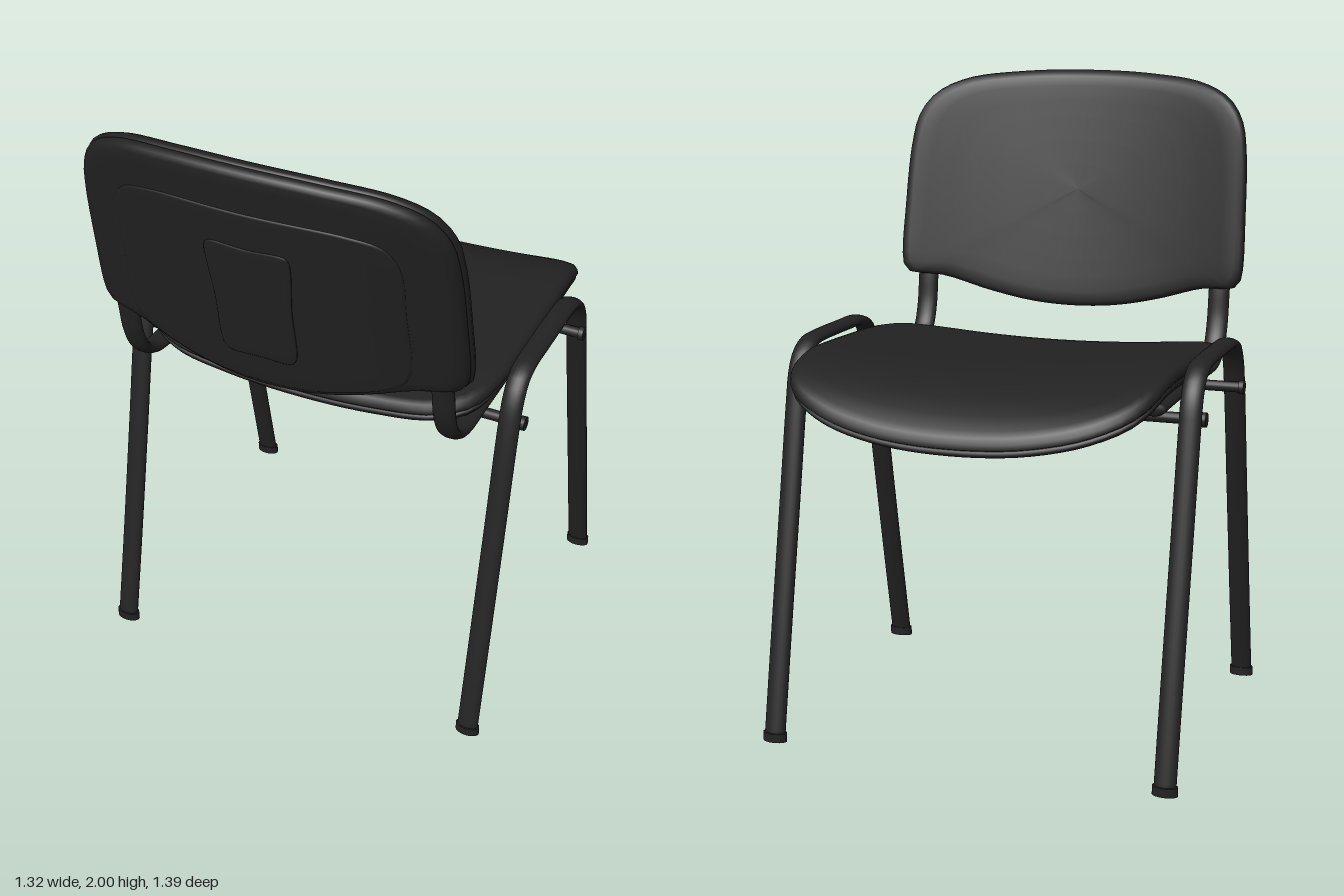
import * as THREE from 'three';

const black = new THREE.MeshStandardMaterial({ color: 0x222222 });
black.name = 'black';

// Skin a list of rings (arrays of Vector3, counter-clockwise around the travel direction)
function loft(rings) {
  const n = rings[0].length, pos = [], idx = [];
  rings.forEach(r => r.forEach(p => pos.push(p.x, p.y, p.z)));
  for (let i = 0; i < rings.length - 1; i++) {
    for (let j = 0; j < n; j++) {
      const a = i * n + j, b = i * n + (j + 1) % n;
      idx.push(a, b, b + n, a, b + n, a + n);
    }
  }
  const g = new THREE.BufferGeometry();
  g.setAttribute('position', new THREE.Float32BufferAttribute(pos, 3));
  g.setIndex(idx);
  g.computeVertexNormals();
  return g;
}

// Oval tube following a path of [z, y] points at a fixed x
function ovalTube(x, path, rx, ry, steps) {
  const curve = new THREE.CatmullRomCurve3(path.map(([z, y]) => new THREE.Vector3(x, y, z)));
  const X = new THREE.Vector3(1, 0, 0), rings = [];
  const ring = (u, s) => {
    const c = curve.getPointAt(u), N = curve.getTangentAt(u).cross(X);
    rings.push(Array.from({ length: 20 }, (_, j) => {
      const t = j / 20 * Math.PI * 2;
      return c.clone().addScaledVector(X, s * rx * Math.cos(t)).addScaledVector(N, s * ry * Math.sin(t));
    }));
  };
  ring(0, 0);
  for (let i = 0; i <= steps; i++) ring(i / steps, 1);
  ring(1, 0);
  return loft(rings);
}

// Curved pad: half outline (right side, bottom centre to top centre), bent by map(a, b, t)
function pad(half, profile, map) {
  const mirrored = half.slice(1, -1).reverse().map(([a, b]) => [-a, b]);
  const curve = new THREE.CatmullRomCurve3(
    [...half, ...mirrored].map(([a, b]) => new THREE.Vector3(a, b, 0)), true);
  const outline = curve.getSpacedPoints(96).slice(0, 96);
  const mid = (half[0][1] + half[half.length - 1][1]) / 2;
  return loft(profile.map(([s, t]) => outline.map(p => map(p.x * s, mid + (p.y - mid) * s, t))));
}

const inner = [0, 0.2, 0.4, 0.6, 0.75, 0.87];
const flat = t => inner.map(s => [s, t]);
// Shell below, seam groove, rounded cushion above
const cushionProfile = [
  ...flat(-1), [0.94, -0.97], [0.975, -0.75], [0.99, -0.4], [0.99, -0.15], [0.975, -0.1],
  [0.99, -0.04], [1, 0.15], [0.995, 0.5], [0.98, 0.8], [0.95, 0.95], ...flat(1).reverse()];
const plateProfile = [...flat(-1), [1, -1], [1, 0.3], [0.98, 1], ...flat(1).reverse()];

// Piecewise-smooth lookup of the seat's centre height along z
const seatCurve = new THREE.SplineCurve([
  [-0.72, 0.99], [-0.62, 1.06], [-0.5, 1.112], [-0.38, 1.13], [-0.2, 1.128],
  [0, 1.12], [0.2, 1.108], [0.38, 1.092]].map(p => new THREE.Vector2(...p)));
const seatSamples = seatCurve.getPoints(140);
function seatHeight(z) {
  let i = 1;
  while (i < seatSamples.length - 1 && seatSamples[i].x < z) i++;
  const a = seatSamples[i - 1], b = seatSamples[i];
  return a.y + (b.y - a.y) * (z - a.x) / (b.x - a.x);
}

// Rear face of the backrest
const backZ = (x, y) => 0.695 - (2 - y) * 0.178 - 0.1 * (x / 0.59) ** 2;

export function createModel() {
  const group = new THREE.Group();
  const add = (name, geometry) => {
    const mesh = new THREE.Mesh(geometry, black);
    mesh.name = name;
    group.add(mesh);
    return mesh;
  };

  // Seat, dished across its width with a falling front lip (b = -z)
  add('seat', pad(
    [[0, -0.375], [0.25, -0.368], [0.44, -0.345], [0.535, -0.285], [0.572, -0.17], [0.58, 0.1],
      [0.577, 0.42], [0.56, 0.54], [0.515, 0.605], [0.42, 0.655], [0.25, 0.69], [0, 0.702]],
    cushionProfile,
    (a, b, t) => new THREE.Vector3(a, seatHeight(-b) + 0.042 * (a / 0.58) ** 2 + 0.038 * t, -b)));

  // Backrest, wrapped around the sitter; cushion on -z, shell on +z
  add('backrest', pad(
    [[0, 1.22], [0.15, 1.23], [0.3, 1.262], [0.45, 1.307], [0.575, 1.325], [0.59, 1.36], [0.59, 1.55],
      [0.58, 1.75], [0.56, 1.85], [0.51, 1.92], [0.41, 1.968], [0.22, 1.993], [0, 2]],
    cushionProfile.map(([s, t]) => [s, -t]).reverse(),
    (a, b, t) => new THREE.Vector3(a, b, backZ(a, b) - 0.042 + 0.042 * t)));

  // Low relief panels on the rear shell
  const onShell = (a, b, t) => new THREE.Vector3(a, b, backZ(a, b) + 0.004 * t);
  add('rearPanel', pad(
    [[0, 1.25], [0.2, 1.265], [0.41, 1.335], [0.44, 1.38], [0.44, 1.6], [0.435, 1.75],
      [0.4, 1.82], [0.3, 1.85], [0, 1.86]], plateProfile, onShell));
  add('rearHandlePanel', pad(
    [[0, 1.35], [0.1, 1.35], [0.115, 1.37], [0.12, 1.55], [0.13, 1.72], [0.12, 1.74], [0, 1.74]],
    plateProfile, (a, b, t) => onShell(a, b, t).add(new THREE.Vector3(0, 0, 0.006))));

  for (const side of [1, -1]) {
    // Bent oval tube forming a rear leg, side rail and front leg
    add('sideFrame', ovalTube(side * 0.622, [
      [0.44, 0.01], [0.36, 0.37], [0.285, 0.72], [0.215, 1.05], [0.19, 1.13], [0.15, 1.185], [0.09, 1.205],
      [0, 1.207], [-0.2, 1.207], [-0.27, 1.2], [-0.325, 1.165], [-0.355, 1.11], [-0.37, 1.05],
      [-0.44, 0.72], [-0.515, 0.37], [-0.59, 0.01]], 0.034, 0.018, 110));
    // Feet
    for (const z of [0.437, -0.588]) {
      const foot = add('foot', new THREE.CylinderGeometry(1, 1, 0.028, 20));
      foot.scale.set(0.039, 1, 0.022);
      foot.position.set(side * 0.622, 0.014, z);
    }
    // Backrest support running on under the seat
    add('backSupport', ovalTube(side * 0.51, [
      [0.5, 1.5], [0.478, 1.4], [0.46, 1.3], [0.445, 1.21], [0.415, 1.14], [0.37, 1.1], [0.31, 1.083],
      [0.2, 1.083], [0, 1.084], [-0.2, 1.084], [-0.36, 1.084]], 0.035, 0.018, 70));
  }

  // Cross bars with bolt heads
  for (const [z, y] of [[0.178, 1.05], [-0.33, 1.06]]) {
    const bar = add('crossBar', new THREE.CylinderGeometry(0.017, 0.017, 1.3, 16));
    bar.rotation.z = Math.PI / 2;
    bar.position.set(0, y, z);
    for (const side of [1, -1]) {
      const bolt = add('boltHead', new THREE.CylinderGeometry(0.022, 0.022, 0.016, 16));
      bolt.rotation.z = Math.PI / 2;
      bolt.position.set(side * 0.654, y, z);
    }
  }
  return group;
}
